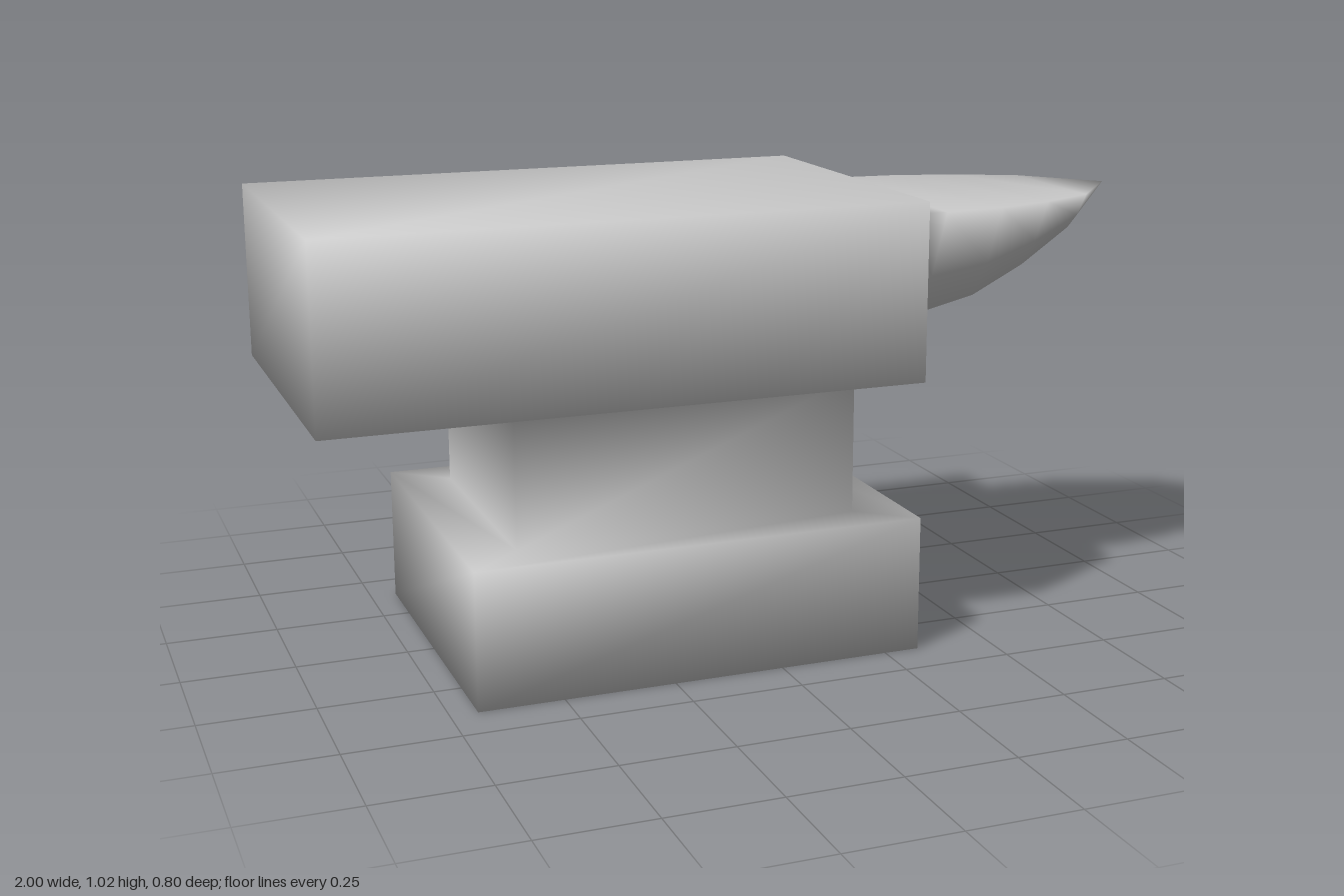
import * as THREE from 'three';

// Anvil as one welded skin, so the smooth normals flow over every edge.
export function createModel() {
  const positions = [];
  const indices = [];

  const addRing = (points) => points.map((p) => {
    positions.push(...p);
    return positions.length / 3 - 1;
  });
  const quad = (a, b, c, d) => indices.push(a, b, c, a, c, d);
  const bridge = (a, b, skip = -1) => a.forEach((_, i) => {
    const j = (i + 1) % a.length;
    if (i !== skip) quad(a[i], a[j], b[j], b[i]);
  });

  // Foot, waist and top block: [x0, x1, half depth, y]
  const tiers = [
    [-0.69, 0.33, 0.393, 0], [-0.69, 0.33, 0.393, 0.308],
    [-0.57, 0.21, 0.29, 0.308], [-0.57, 0.21, 0.29, 0.62],
    [-1, 0.33, 0.4, 0.62], [-1, 0.33, 0.4, 1.018],
  ].map(([x0, x1, z, y]) => addRing([[x0, y, z], [x1, y, z], [x1, y, -z], [x0, y, -z]]));
  // The horn end of the top block stays open here
  for (let i = 0; i < 5; i++) bridge(tiers[i], tiers[i + 1], i === 4 ? 1 : -1);
  const bottom = tiers[0], under = tiers[4], top = tiers[5];
  quad(bottom[3], bottom[2], bottom[1], bottom[0]);
  quad(...top);

  // Horn: a keel-shaped section that shrinks towards its flat top
  const hornTop = 0.973;
  const section = [[-1, 0], [-0.77, 0.5], [-0.53, 0.82], [0, 1], [0.53, 0.82], [0.77, 0.5], [1, 0]];
  const horn = [
    [0.33, 0.29, 0.31], [0.43, 0.29, 0.31], [0.575, 0.277, 0.272],
    [0.715, 0.235, 0.2], [0.855, 0.168, 0.11],
  ].map(([x, w, d]) => addRing(section.map(([u, v]) => [x, hornTop - v * d, -u * w])));
  for (let i = 0; i < horn.length - 1; i++) bridge(horn[i], horn[i + 1]);
  const [tip] = addRing([[1, hornTop, 0]]);
  const last = horn[horn.length - 1];
  last.forEach((v, i) => indices.push(v, last[(i + 1) % last.length], tip));

  // End face of the top block, around the root of the horn
  const outline = [under[1], under[2], top[2], top[1]];
  const flat = (i) => new THREE.Vector2(-positions[3 * i + 2], positions[3 * i + 1]);
  const hole = [...horn[0]].reverse();
  const all = [...outline, ...hole];
  THREE.ShapeUtils.triangulateShape(outline.map(flat), [hole.map(flat)])
    .forEach((face) => indices.push(...face.map((i) => all[i])));

  const geometry = new THREE.BufferGeometry();
  geometry.setAttribute('position', new THREE.Float32BufferAttribute(positions, 3));
  geometry.setIndex(indices);
  geometry.computeVertexNormals();

  const anvil = new THREE.Mesh(geometry, new THREE.MeshStandardMaterial({ color: 0xcccccc }));
  anvil.name = 'anvilBodyWithHorn';
  const group = new THREE.Group();
  group.name = 'anvil';
  group.add(anvil);
  return group;
}
